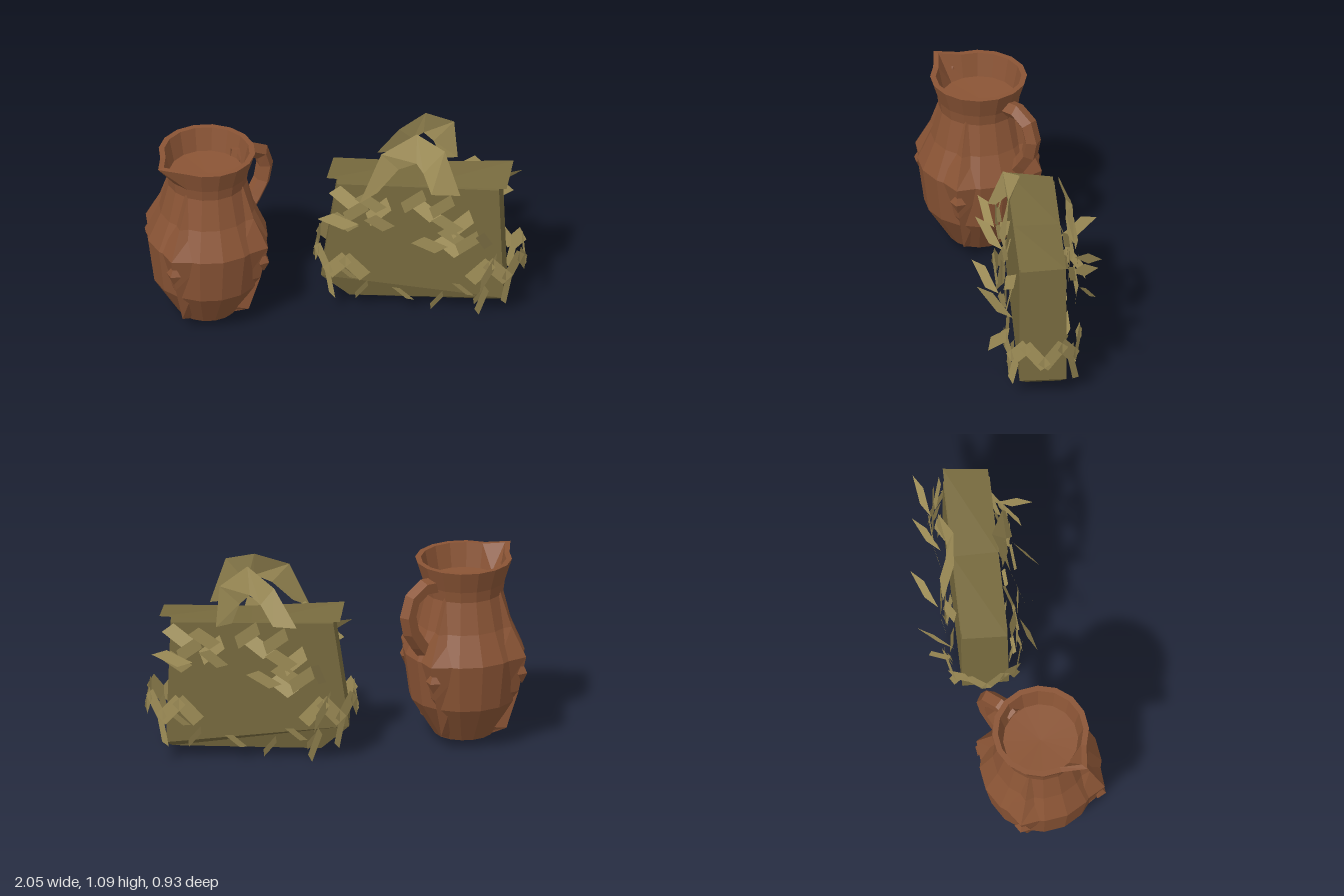
import * as THREE from 'three';
import { mergeGeometries } from 'three/addons/utils/BufferGeometryUtils.js';

const material = (name, color) => {
  const m = new THREE.MeshStandardMaterial({ color, flatShading: true, side: THREE.DoubleSide });
  m.name = name;
  return m;
};

export function createModel() {
  const clay = material('terracotta', 0x8a5435);
  const weave = material('olive weave', 0x776a3e);
  const straw = material('pale straw', 0xa08f58);

  const add = (parent, name, geometry, mat) => {
    const mesh = new THREE.Mesh(geometry, mat);
    mesh.name = name;
    parent.add(mesh);
    return mesh;
  };

  // Surface lofted through rows of [x, y, z] points
  const loft = (rows, closed = false) => {
    const n = rows[0].length, index = [];
    for (let r = 0; r < rows.length - 1; r++) {
      for (let i = 0; i < (closed ? n : n - 1); i++) {
        const a = r * n + i, b = r * n + (i + 1) % n;
        index.push(a, b, b + n, a, b + n, a + n);
      }
    }
    const g = new THREE.BufferGeometry();
    g.setAttribute('position', new THREE.Float32BufferAttribute(rows.flat(2), 3));
    g.setIndex(index);
    g.computeVertexNormals();
    return g;
  };

  // ---- Jug: its handle points along local +x, its spout along -x ----
  const model = new THREE.Group();
  model.name = 'jugAndBasket';
  const jug = new THREE.Group();
  jug.name = 'jug';
  const turn = 0.39;
  jug.position.set(-0.68, 0, -0.14);
  jug.rotation.y = turn;
  model.add(jug);

  const profile = [
    [0, 0.03], [0.16, 0.03], [0.29, 0.24], [0.325, 0.5], [0.255, 0.66], [0.212, 0.83],
    [0.22, 0.89], [0.258, 1.01], [0.228, 1.01], [0.2, 0.88], [0, 0.87],
  ].map(([r, y]) => new THREE.Vector2(r, y));
  const body = new THREE.LatheGeometry(profile, 16);
  const p = body.attributes.position;
  for (let i = 0; i < p.count; i++) {
    const x = p.getX(i), y = p.getY(i);
    // Pull the rim out to a pointed spout
    if (y > 1 && x < 0 && Math.abs(p.getZ(i)) < 0.02) {
      p.setX(i, x * 1.28);
      p.setY(i, y + 0.012);
    }
  }
  body.computeVertexNormals();
  add(jug, 'jugBody', body, clay);

  // Four pointed ridges: [height, base radius, half width, ridge radius]
  const ridge = [
    [0.86, 0.2, 0.01, 0.21], [0.66, 0.22, 0.07, 0.28], [0.5, 0.27, 0.15, 0.365],
    [0.3, 0.26, 0.08, 0.32], [0.08, 0.15, 0.03, 0.25], [0.04, 0.12, 0.01, 0.17],
  ].map(([y, base, w, r]) => [[base, y, -w], [r, y, 0], [base, y, w]]);
  for (const angle of [0.75, -0.75, Math.PI - 0.75, Math.PI + 0.75]) {
    add(jug, 'jugRidge', loft(ridge), clay).rotation.y = angle - turn;
    // Small pointed stud at the widest point
    const stud = new THREE.OctahedronGeometry(0.045).scale(0.7, 1.4, 1).translate(0.34, 0.41, 0);
    add(jug, 'ridgeStud', stud, clay).rotation.y = angle - turn;
  }

  // Jug handle
  const handlePath = new THREE.CatmullRomCurve3(
    [[0.19, 0.9], [0.3, 0.905], [0.385, 0.83], [0.375, 0.69], [0.26, 0.53]]
      .map(([x, y]) => new THREE.Vector3(x, y, 0)));
  add(jug, 'jugHandle', new THREE.TubeGeometry(handlePath, 6, 0.047, 5), clay);

  // ---- Basket: length along local x, front along local +z ----
  const basket = new THREE.Group();
  basket.name = 'basket';
  basket.position.set(0.45, 0, 0.03);
  basket.rotation.y = -0.35;
  model.add(basket);

  const ring = (left, right, w, yLeft, yRight) =>
    [[left, yLeft, w], [right, yRight, w], [right, yRight, -w], [left, yLeft, -w]];
  const point = (y) => ring(0, 0, 0, y, y);
  add(basket, 'basketBody', loft([
    point(0.05), ring(-0.37, 0.42, 0.09, 0.04, 0.05), ring(-0.52, 0.455, 0.125, 0.18, 0.08),
    ring(-0.435, 0.43, 0.125, 0.762, 0.762), point(0.762),
  ], true), weave);

  // Thin lid with two lifted corners
  add(basket, 'lid', loft([
    [[-0.49, 0.795, 0.12], [0, 0.768, 0.12], [0.47, 0.77, 0.12]],
    [[-0.47, 0.77, -0.12], [0, 0.768, -0.12], [0.49, 0.795, -0.12]],
  ]), weave);

  // Strap handles in model space: outer edge, then inner edge
  const frontOuter = [[0.08, 0.72, 0.15], [0.21, 0.99, 0.12], [0.41, 1.075, 0.11], [0.53, 1.02, 0.23], [0.6, 0.76, 0.285]];
  const frontInner = [[0.18, 0.77, 0.15], [0.3, 0.89, 0.14], [0.39, 0.93, 0.17], [0.42, 0.88, 0.2], [0.45, 0.77, 0.25]];
  const backOuter = [[0.69, 0.76, -0.08], [0.67, 0.99, -0.08], [0.51, 1.08, -0.07], [0.38, 0.96, -0.13], [0.29, 0.76, -0.24]];
  const backInner = [[0.6, 0.77, -0.08], [0.56, 0.88, -0.09], [0.51, 0.93, -0.11], [0.46, 0.88, -0.14], [0.41, 0.77, -0.2]];
  add(model, 'frontStrap', loft([frontOuter, frontInner]), straw);
  add(model, 'backStrap', loft([backOuter, backInner]), straw);

  // A slanted straw blade: position, heading, roll in its own plane, tilt, length, width, skew
  const blade = (x, y, z, heading, roll, tilt, length, width, skew = 0.3) => {
    const g = new THREE.PlaneGeometry(length, width);
    const q = g.attributes.position;
    for (let i = 0; i < 4; i++) q.setX(i, q.getX(i) + q.getY(i) * skew);
    return g.rotateZ(roll).rotateX(tilt).rotateY(heading).translate(x, y, z);
  };

  // Braids slanting down the faces, the same on the back after a half turn: [x, y]
  const braid = [
    [-0.39, 0.7], [-0.33, 0.63], [-0.25, 0.7], [-0.21, 0.62], [-0.4, 0.56],
    [-0.02, 0.72], [0.04, 0.64], [0.13, 0.68], [0.16, 0.58], [0.23, 0.56], [0.19, 0.49],
    [0.27, 0.47], [0.17, 0.42],
  ];
  const fringe = [[-0.38, 0.22], [-0.3, 0.13], [-0.08, 0.1], [0.1, 0.08], [0.24, 0.14], [0.33, 0.12]];
  const faceBlades = [
    ...braid.map(([x, y], i) =>
      blade(x, y, 0.16 + (i % 3) * 0.02, i % 2 ? 0.2 : -0.15, i % 2 ? 0.6 : -0.6, i % 3 ? 0.1 : -0.3, 0.14, 0.075)),
    ...fringe.map(([x, y], i) =>
      blade(x, y, 0.15 + (i % 2) * 0.02, i % 2 ? 0.5 : -0.4, i % 2 ? 0.9 : -0.7, 0.3, 0.1, 0.04, 0.8)),
    // Loose pointed blades sticking out
    blade(-0.42, 0.6, 0.24, 0.5, -0.6, -0.5, 0.16, 0.06, 1.2),
    blade(-0.2, 0.6, 0.24, 0.9, -0.8, -0.3, 0.16, 0.06, 1.2),
    blade(0.07, 0.5, 0.28, 0.8, -0.7, -0.4, 0.17, 0.06, 1.2),
    blade(0.36, 0.52, 0.25, 1.1, -0.9, 0.1, 0.18, 0.06, 1.2),
    blade(0.38, 0.3, 0.23, 0.9, 0.7, 0, 0.16, 0.06, 1.2),
    blade(0.34, 0.09, 0.17, 0.4, 1.3, 0.2, 0.17, 0.04, 1),
  ];

  // Zigzag garland bent round each end
  const endBlades = [];
  for (let i = 0; i < 8; i++) {
    const a = (i / 7 - 0.5) * 3.4;
    endBlades.push(blade(0.36 + 0.195 * Math.cos(a), 0.29, 0.2 * Math.sin(a),
      Math.PI / 2 - a, i % 2 ? 0.85 : -0.85, 0, 0.17, 0.075, 0));
  }
  // Lower tufts near the corners
  for (const s of [-1, 1]) {
    endBlades.push(blade(0.47, 0.16, s * 0.16, Math.PI / 2 - s * 0.8, 1.3 * s, 0, 0.15, 0.045, 0.6));
  }

  // The same trimmings on both halves of the basket
  const faceStraw = mergeGeometries(faceBlades);
  const endStraw = mergeGeometries(endBlades);
  for (const spin of [0, Math.PI]) {
    add(basket, 'braids', faceStraw, straw).rotation.y = spin;
    add(basket, 'garland', endStraw, straw).rotation.y = spin;
  }

  return model;
}
